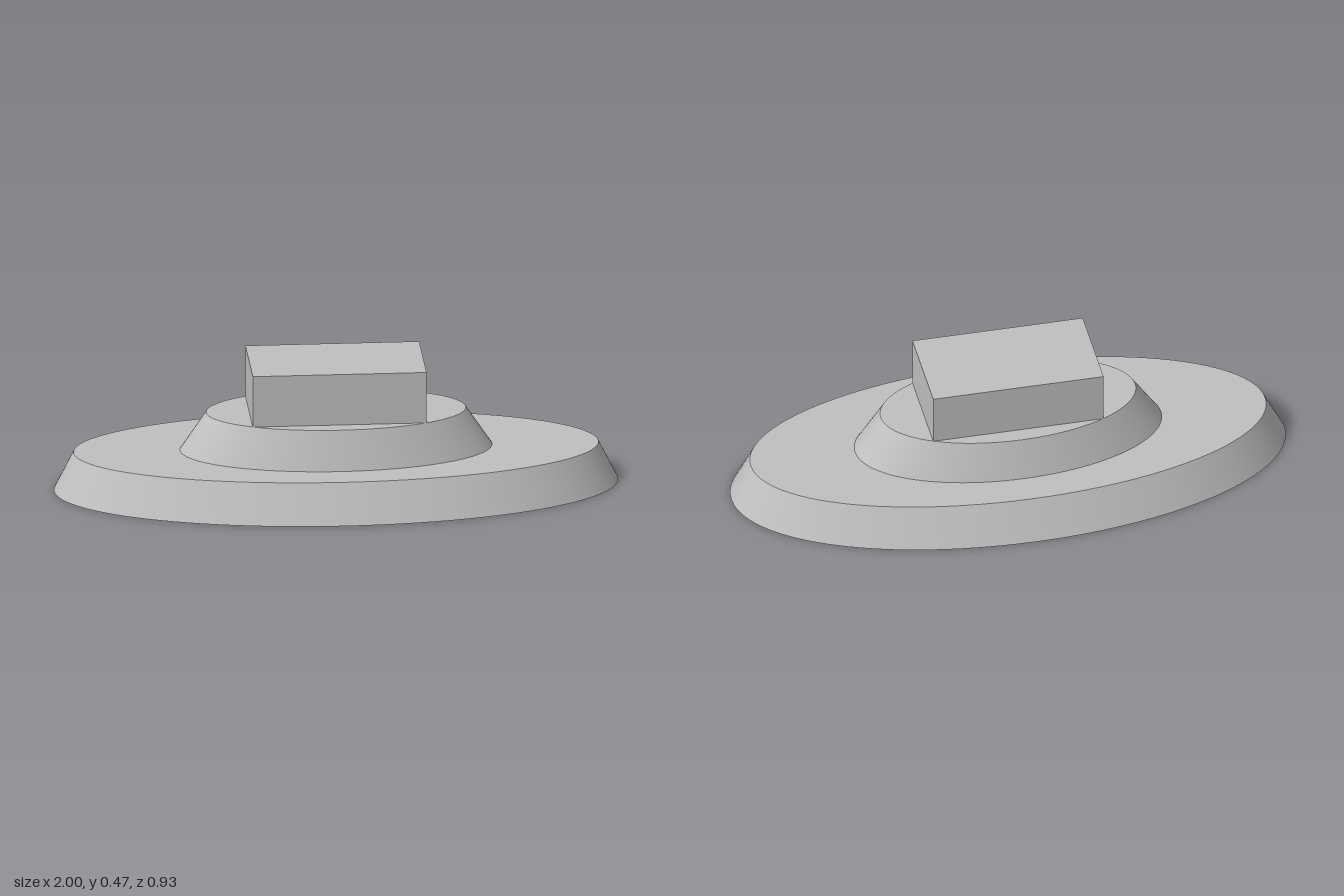
import * as THREE from 'three';

const grey = new THREE.MeshStandardMaterial({ color: 0xc0c0c0 });
grey.name = 'plain grey';

// Elliptical frustum: bottom radii (ax, az), top radii (bx, bz), from y0 to y1
function ellipticTier(name, [ax, az], [bx, bz], y0, y1) {
  const h = y1 - y0;
  const geo = new THREE.CylinderGeometry(1, 1, h, 96, 1);
  geo.translate(0, h / 2, 0);
  const pos = geo.attributes.position;
  const nor = geo.attributes.normal;
  const n = new THREE.Vector3();
  for (let i = 0; i < pos.count; i++) {
    const s = pos.getX(i), c = pos.getZ(i), t = pos.getY(i) / h;
    const rx = ax + (bx - ax) * t, rz = az + (bz - az) * t;
    pos.setXYZ(i, s * rx, y0 + h * t, c * rz);
    // Smooth normals on the sloped wall; the caps keep theirs
    if (Math.abs(nor.getY(i)) < 0.5) {
      const slope = ((bx - ax) * rz * s * s + (bz - az) * rx * c * c) / h;
      n.set(rz * s, -slope, rx * c).normalize();
      nor.setXYZ(i, n.x, n.y, n.z);
    }
  }
  const mesh = new THREE.Mesh(geo, grey);
  mesh.name = name;
  return mesh;
}

export function createModel() {
  const model = new THREE.Group();
  model.name = 'steppedPedestal';

  // Two stacked oval tiers with sloping walls
  model.add(ellipticTier('lowerTier', [1, 0.465], [0.93, 0.396], 0, 0.14));
  model.add(ellipticTier('upperTier', [0.553, 0.276], [0.46, 0.231], 0.14, 0.279));

  // Rectangular block on top
  const block = new THREE.Mesh(new THREE.BoxGeometry(0.616, 0.188, 0.346), grey);
  block.name = 'topBlock';
  block.position.y = 0.279 + 0.094;
  model.add(block);

  return model;
}
